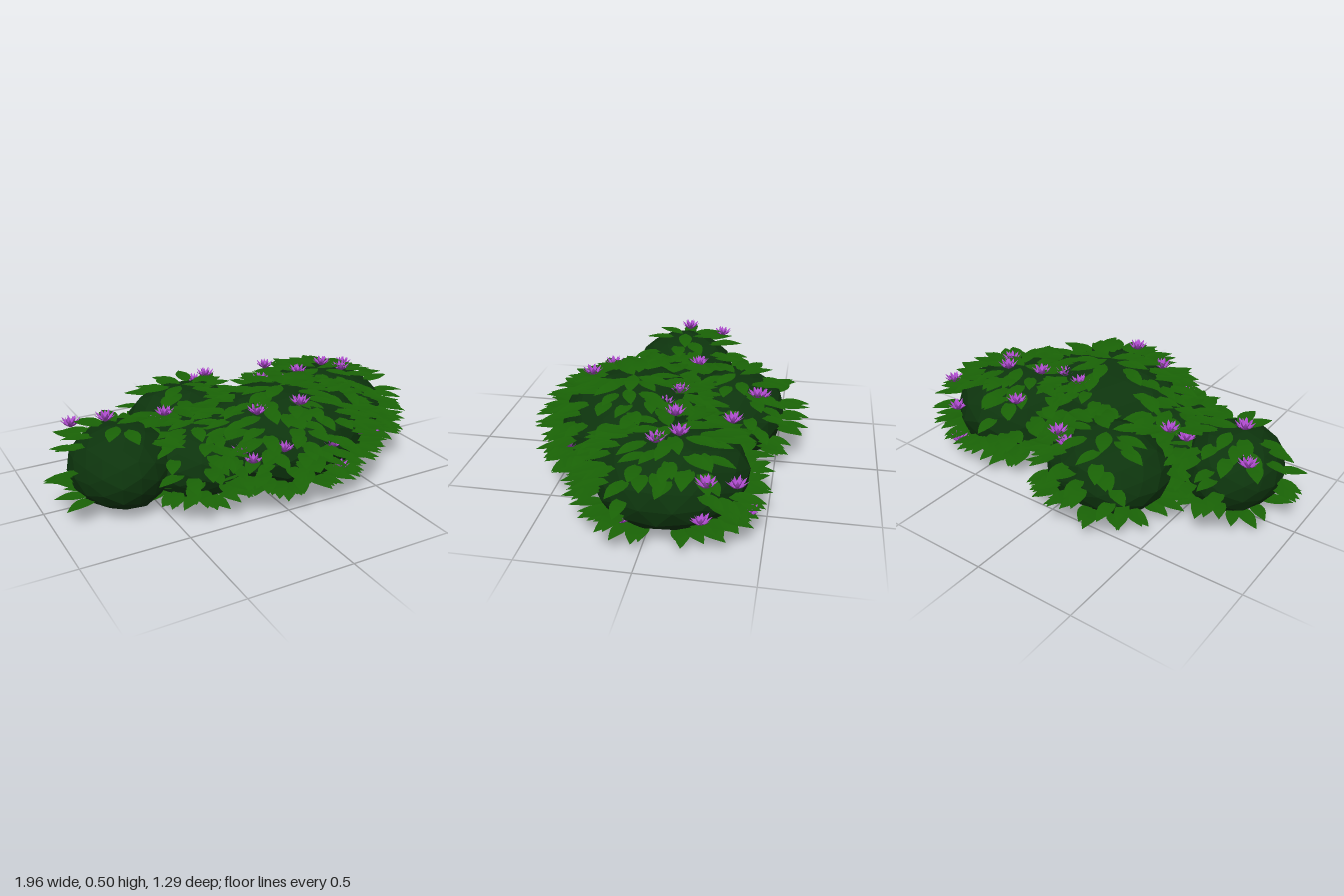
import * as THREE from 'three';
import { mergeGeometries } from 'three/addons/utils/BufferGeometryUtils.js';

// Foliage mounds: centre, radii, number of leaves
const MOUNDS = [
  { name: 'leftMound', c: [-0.64, 0.21, 0.06], r: [0.235, 0.2, 0.265], leaves: 90 },
  { name: 'backMound', c: [-0.16, 0.2, -0.27], r: [0.31, 0.2, 0.26], leaves: 140 },
  { name: 'rightMound', c: [0.53, 0.22, -0.07], r: [0.35, 0.215, 0.35], leaves: 260 },
  { name: 'frontMound', c: [0.15, 0.25, 0.17], r: [0.42, 0.24, 0.345], leaves: 340 },
  { name: 'sideMound', c: [-0.27, 0.19, 0.1], r: [0.29, 0.18, 0.28], leaves: 180 },
];

// Patches left without leaves: x, y, z, radius
const BARE = [
  [-0.7, 0.22, 0.32, 0.23], [-0.8, 0.2, -0.08, 0.12], [0, 0.48, 0, 0.12], [0.6, 0.32, -0.4, 0.14],
  [-0.42, 0.27, -0.33, 0.15], [0.88, 0.2, -0.08, 0.15], [0.38, 0.35, 0.22, 0.1],
];

// Flower positions
const FLOWERS = [
  [0.12, 0.46, 0.38], [0.83, 0.33, -0.27], [-0.69, 0.42, 0.04], [-0.8, 0.35, -0.13],
  [0.35, 0.38, -0.32], [0.58, 0.42, -0.12], [0.4, 0.42, -0.07], [0.64, 0.41, -0.03],
  [0.3, 0.41, 0], [0.22, 0.28, 0.51], [0.46, 0.25, 0.4], [0.27, 0.15, 0.5],
  [0.64, 0.17, 0.28], [0.82, 0.12, 0.08], [-0.02, 0.3, 0.48], [-0.15, 0.25, 0.43],
  [-0.18, 0.28, 0.38], [-0.07, 0.43, 0.32], [0.03, 0.36, -0.4], [-0.03, 0.33, -0.42],
  [-0.36, 0.34, -0.06], [-0.44, 0.31, -0.04], [0.84, 0.16, -0.25], [0.66, 0.11, -0.43],
  [0.7, 0.26, -0.38], [0.17, 0.42, -0.05],
];

let seed = 7;
function rand(a = 0, b = 1) {
  seed = (seed * 16807) % 2147483647;
  return a + (b - a) * (seed / 2147483647);
}

// Faceted, slightly lumpy ellipsoid
function moundGeometry({ c, r }) {
  const geo = new THREE.IcosahedronGeometry(1, 2);
  const p = geo.attributes.position, v = new THREE.Vector3();
  for (let i = 0; i < p.count; i++) {
    v.fromBufferAttribute(p, i);
    const lump = 1 + 0.03 * Math.sin(5 * v.x + 9 * c[0]) * Math.cos(4 * v.z + 7 * c[2] + 3 * v.y);
    p.setXYZ(i, c[0] + v.x * r[0] * lump, Math.max(0.01, c[1] + v.y * r[1] * lump), c[2] + v.z * r[2] * lump);
  }
  geo.computeVertexNormals();
  return geo;
}

// Pointed blade along +z: length 1, arched and folded along the midrib
function bladeGeometry(width, arch, fold) {
  const geo = new THREE.PlaneGeometry(2, 1, 2, 6);
  const p = geo.attributes.position;
  for (let i = 0; i < p.count; i++) {
    const t = 0.5 - p.getY(i), side = p.getX(i);
    const w = width * Math.sin(Math.PI * Math.pow(t, 0.9));
    p.setXYZ(i, side * w, arch * Math.sin(Math.PI * 0.8 * t) - 0.04 * t + fold * Math.abs(side) * w, t);
  }
  geo.computeVertexNormals();
  return geo;
}

function insideAnother(pos, own) {
  return MOUNDS.some(m => m !== own &&
    m.c.reduce((s, c, i) => s + ((pos.getComponent(i) - c) / m.r[i]) ** 2, 0) < 0.85);
}

// Nearly level leaves fanning outwards over one mound
function leavesGeometry(mound, blade) {
  const parts = [], dummy = new THREE.Object3D();
  dummy.rotation.order = 'YXZ';
  const { c, r } = mound;
  for (let i = 0; i < mound.leaves; i++) {
    const y = 1 - 1.8 * (i + 0.5) / mound.leaves;
    const a = i * 2.39996 + rand(-0.4, 0.4), q = Math.sqrt(1 - y * y);
    const pos = new THREE.Vector3(c[0] + Math.cos(a) * q * r[0], c[1] + y * r[1], c[2] + Math.sin(a) * q * r[2]);
    const bare = BARE.some(b => pos.distanceTo(new THREE.Vector3(b[0], b[1], b[2])) < b[3]);
    if (bare || insideAnother(pos, mound)) continue;
    // Root the leaf just below the mound surface
    pos.x -= Math.cos(a) * 0.04;
    pos.z -= Math.sin(a) * 0.04;
    dummy.position.copy(pos);
    dummy.rotation.set(rand(-0.04, 0.08), Math.PI / 2 - a + rand(-0.6, 0.6), rand(-0.06, 0.06));
    dummy.scale.setScalar(rand(0.15, 0.185));
    dummy.updateMatrix();
    parts.push(blade.clone().applyMatrix4(dummy.matrix));
  }
  return mergeGeometries(parts);
}

// Cup of narrow upright petals in two rings
function flowerGeometry() {
  const petal = bladeGeometry(0.15, -0.1, 0.3), parts = [], dummy = new THREE.Object3D();
  dummy.rotation.order = 'YXZ';
  for (const [count, tilt, size] of [[9, 0.8, 0.065], [7, 1.2, 0.056]]) {
    for (let i = 0; i < count; i++) {
      dummy.rotation.set(-tilt, (i + tilt) * 2 * Math.PI / count, 0);
      dummy.scale.setScalar(size);
      dummy.updateMatrix();
      parts.push(petal.clone().applyMatrix4(dummy.matrix));
    }
  }
  return mergeGeometries(parts);
}

export function createModel() {
  const model = new THREE.Group();
  model.name = 'floweringShrub';
  const moundMat = new THREE.MeshStandardMaterial({ color: 0x0d340d, flatShading: true });
  const leafMat = new THREE.MeshStandardMaterial({ color: 0x1a6406, side: THREE.DoubleSide });
  const petalMat = new THREE.MeshStandardMaterial({ color: 0xb04cd0, side: THREE.DoubleSide });

  // Mounds with their leaves
  const blade = bladeGeometry(0.21, 0.05, 0.06);
  for (const mound of MOUNDS) {
    const group = new THREE.Group();
    group.name = mound.name;
    const body = new THREE.Mesh(moundGeometry(mound), moundMat);
    body.name = 'foliageBody';
    const leaves = new THREE.Mesh(leavesGeometry(mound, blade), leafMat);
    leaves.name = 'leaves';
    group.add(body, leaves);
    model.add(group);
  }

  // Flowers
  const flowers = new THREE.Group();
  flowers.name = 'flowers';
  const flowerGeo = flowerGeometry();
  FLOWERS.forEach((p, i) => {
    const flower = new THREE.Mesh(flowerGeo, petalMat);
    flower.name = 'flower';
    flower.position.set(...p);
    flower.rotation.y = i * 1.3;
    flowers.add(flower);
  });
  model.add(flowers);
  return model;
}
